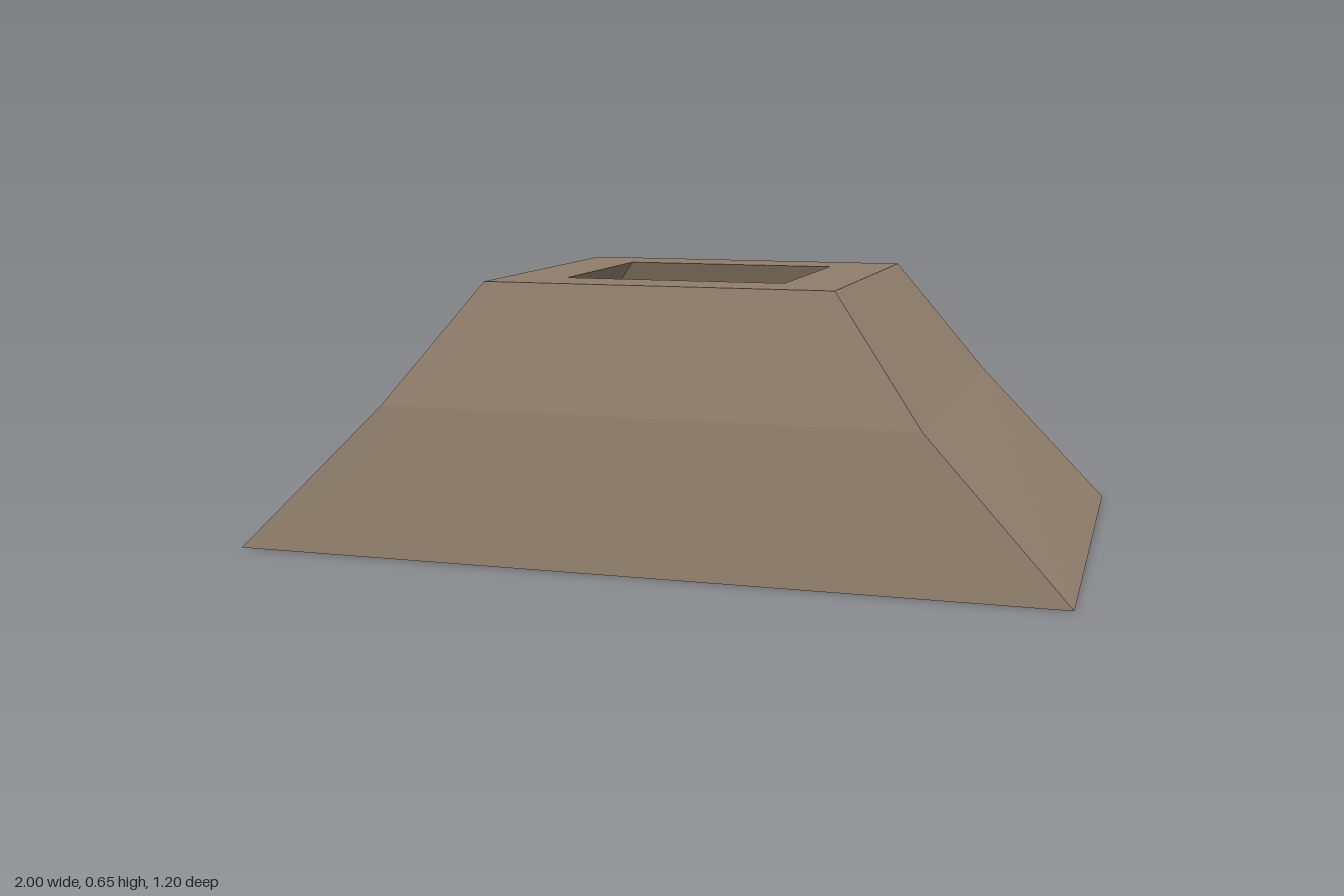
import * as THREE from 'three';

// Four corners of a rectangle at height y, counter-clockwise from above;
// backRight optionally pulls in the back corner on the -x side
function ring(y, x, z, backRightX = -x) {
  return [[x, y, z], [x, y, -z], [backRightX, y, -z], [-x, y, z]];
}

// Flat-faced band of four quads joining two rings
function band(name, a, b, material) {
  const pos = [];
  for (let i = 0; i < 4; i++) {
    const j = (i + 1) % 4;
    for (const p of [a[i], a[j], b[j], a[i], b[j], b[i]]) pos.push(...p);
  }
  const geo = new THREE.BufferGeometry();
  geo.setAttribute('position', new THREE.Float32BufferAttribute(pos, 3));
  geo.computeVertexNormals();
  const mesh = new THREE.Mesh(geo, material);
  mesh.name = name;
  return mesh;
}

export function createModel() {
  const group = new THREE.Group();
  group.name = 'hollowFlaredBase';
  const stone = new THREE.MeshStandardMaterial({ color: 0x8f7d6b });
  stone.name = 'brown stone';

  // Cross-sections: up the outside, over the rim, down the inside
  const outerBottom = ring(0, 1, 0.6, -0.74);
  outerBottom[1][0] = 0.98;
  const rings = [
    outerBottom,
    ring(0.355, 0.655, 0.52),
    ring(0.65, 0.43, 0.405),
    ring(0.65, 0.275, 0.25),
    ring(0.355, 0.51, 0.37),
    ring(0, 0.85, 0.44, -0.745),
  ];
  const names = ['lowerSkirt', 'upperSkirt', 'topRim', 'upperLining', 'lowerLining', 'baseRim'];

  names.forEach((name, i) => {
    group.add(band(name, rings[i], rings[(i + 1) % rings.length], stone));
  });
  return group;
}
